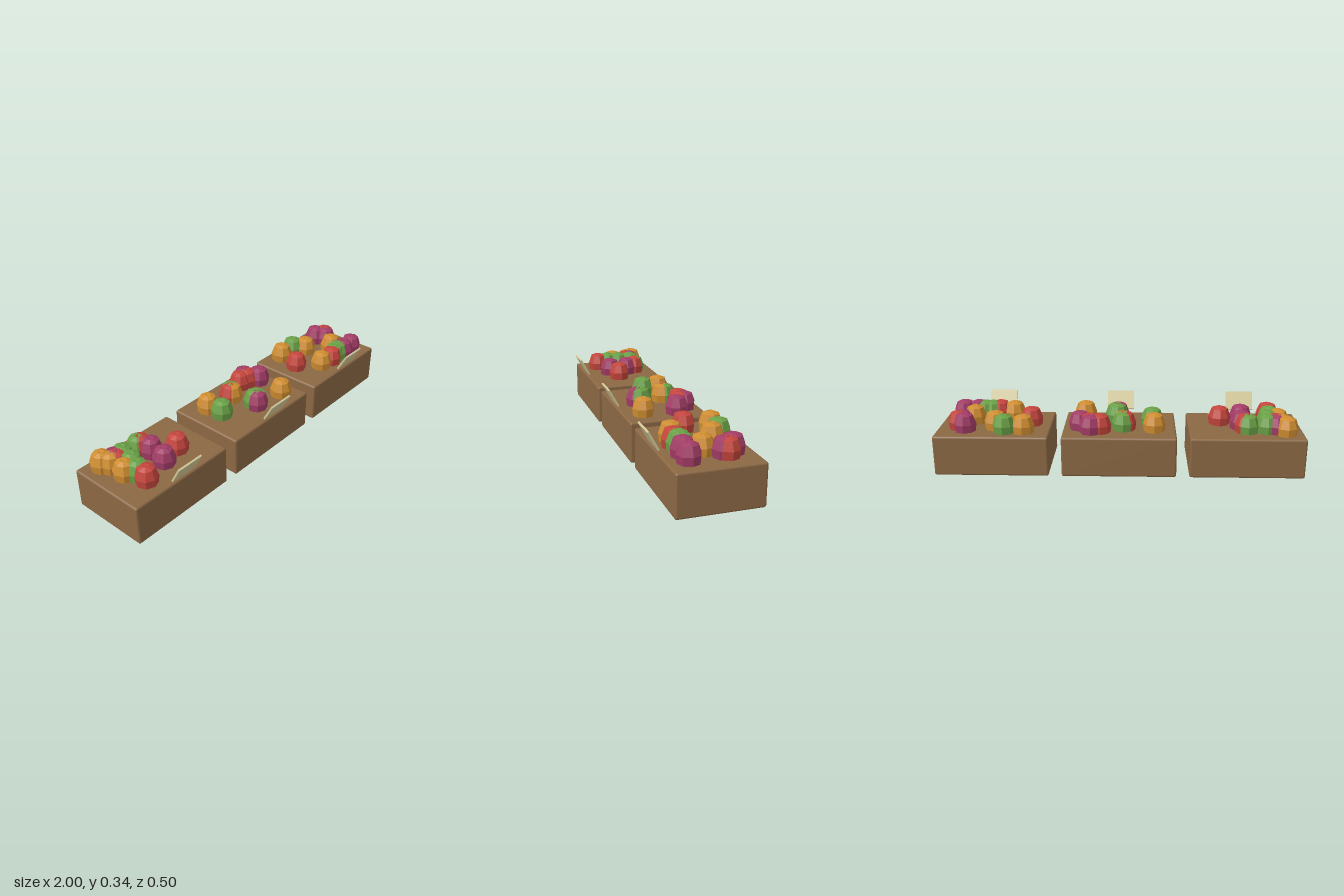
import * as THREE from 'three';
import { RoundedBoxGeometry } from 'three/addons/geometries/RoundedBoxGeometry.js';

function material(name, color) {
  const m = new THREE.MeshStandardMaterial({ color });
  m.name = name;
  return m;
}

// Squat eight-sided fruit with a slightly dimpled top; y = 0 is the crate top
function fruitGeometry() {
  const profile = [[0, -0.035], [0.04, -0.03], [0.057, -0.005], [0.0617, 0.043],
    [0.045, 0.089], [0.018, 0.1], [0, 0.097]].map(([r, y]) => new THREE.Vector2(r, y));
  const geometry = new THREE.LatheGeometry(profile, 8).toNonIndexed();
  geometry.computeVertexNormals(); // faceted
  return geometry;
}

export function createModel() {
  const group = new THREE.Group();
  const wood = material('crate wood', 0x8b6844);
  const card = material('sign card', 0xd2c896);
  const fruitMaterials = {
    r: material('red fruit', 0xc4453c),
    g: material('green fruit', 0x6aa046),
    o: material('orange fruit', 0xcf8d30),
    p: material('purple fruit', 0xa23c66),
  };
  const names = { r: 'redFruit', g: 'greenFruit', o: 'orangeFruit', p: 'purpleFruit' };

  const TOP = 0.222;
  const crateGeometry = new RoundedBoxGeometry(0.62, TOP, 0.443, 2, 0.011);
  const signGeometry = new THREE.BoxGeometry(0.154, 0.108, 0.01);
  const fruit = fruitGeometry();

  // Each crate: centre x, then fruit as [colour, x, z]
  const crates = [
    { name: 'rightCrate', x: -0.69, fruits: [
      ['o', -0.90, -0.16], ['o', -0.875, -0.12], ['p', -0.85, -0.125], ['r', -0.845, -0.11],
      ['g', -0.80, -0.12], ['g', -0.695, -0.125], ['r', -0.685, -0.118], ['p', -0.665, -0.06],
      ['o', -0.87, -0.025], ['g', -0.81, -0.045], ['g', -0.83, 0.02], ['r', -0.83, 0.085],
      ['p', -0.675, 0.045], ['r', -0.555, 0.015]] },
    { name: 'middleCrate', x: 0, fruits: [
      ['o', -0.19, -0.115], ['g', -0.18, -0.02], ['r', -0.03, -0.095], ['g', -0.02, -0.1],
      ['o', -0.022, -0.088], ['r', 0.105, -0.14], ['p', 0.155, -0.155], ['r', 0.155, -0.13],
      ['p', 0.215, -0.09], ['g', 0.012, 0.05], ['p', 0.01, 0.07], ['g', 0.02, 0.06],
      ['o', 0.195, 0.09]] },
    { name: 'leftCrate', x: 0.69, fruits: [
      ['o', 0.52, -0.16], ['g', 0.625, -0.16], ['o', 0.68, -0.1], ['r', 0.49, -0.025],
      ['p', 0.84, -0.14], ['r', 0.88, -0.1], ['p', 0.87, -0.085], ['o', 0.81, 0],
      ['o', 0.60, 0.08], ['r', 0.685, 0.095], ['g', 0.725, 0.085], ['g', 0.765, 0.085],
      ['p', 0.81, 0.095], ['p', 0.89, 0.095]] },
  ];

  for (const { name, x, fruits } of crates) {
    const stand = new THREE.Group();
    stand.name = name;
    group.add(stand);
    const add = (geometry, mat, partName, px, py, pz) => {
      const mesh = new THREE.Mesh(geometry, mat);
      mesh.name = partName;
      mesh.position.set(px, py, pz);
      stand.add(mesh);
      return mesh;
    };
    add(crateGeometry, wood, 'crate', x, TOP / 2, -0.0265);
    // Price card, leaning forward at the top
    add(signGeometry, card, 'sign', x, 0.29, 0.2185).rotation.x = 0.5;
    for (const [kind, fx, fz] of fruits) {
      add(fruit, fruitMaterials[kind], names[kind], fx, TOP, fz);
    }
  }
  return group;
}
